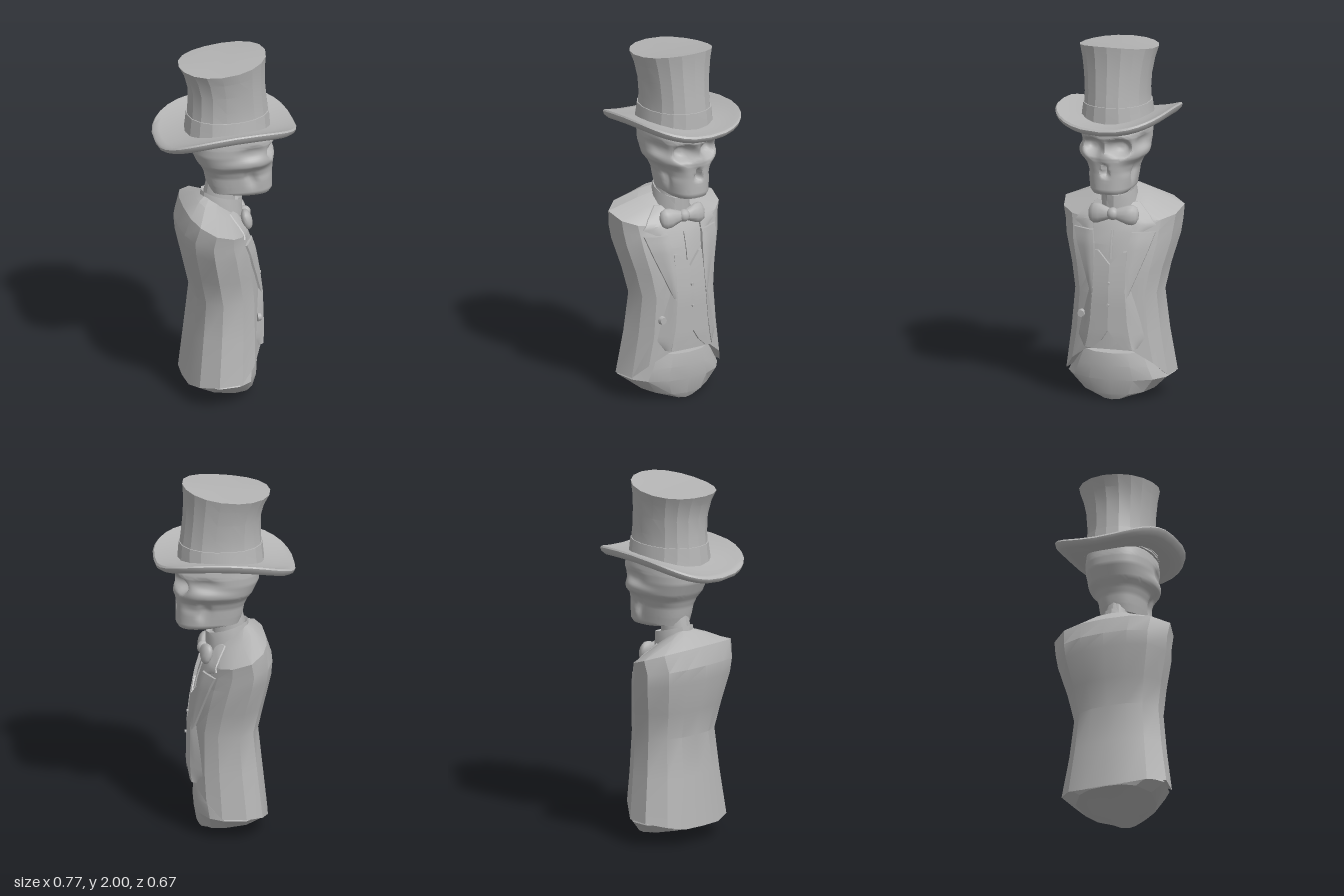
import * as THREE from 'three';
import { toCreasedNormals } from 'three/addons/utils/BufferGeometryUtils.js';

const grey = new THREE.MeshStandardMaterial({ color: 0xb4b4b4 });
grey.name = 'stone grey';

// Skin a stack of closed rings, cap both ends, and turn the faces outward
function loft(rings, crease = 0.5) {
  const n = rings[0].length, tris = [];
  for (let i = 0; i < rings.length - 1; i++) {
    for (let j = 0; j < n; j++) {
      const k = (j + 1) % n, a = rings[i], b = rings[i + 1];
      tris.push([a[j], b[j], b[k]], [a[j], b[k], a[k]]);
    }
  }
  for (const [ring, last] of [[rings[0], false], [rings[rings.length - 1], true]]) {
    const c = new THREE.Vector3();
    ring.forEach(p => c.addScaledVector(p, 1 / n));
    for (let j = 0; j < n; j++) {
      const p = ring[j], q = ring[(j + 1) % n];
      tris.push(last ? [c, q, p] : [c, p, q]);
    }
  }
  const cross = new THREE.Vector3();
  let volume = 0;
  for (const [a, b, c] of tris) volume += a.dot(cross.crossVectors(b, c));
  const pts = tris.flatMap(([a, b, c]) => (volume < 0 ? [a, c, b] : [a, b, c]));
  return toCreasedNormals(new THREE.BufferGeometry().setFromPoints(pts), crease);
}

function add(parent, name, geometry) {
  const mesh = new THREE.Mesh(geometry, grey);
  mesh.name = name;
  parent.add(mesh);
  return mesh;
}

// Linear lookup in rows sorted by their first number
function lookup(rows, y) {
  let i = 0;
  while (i < rows.length - 2 && y > rows[i + 1][0]) i++;
  const t = THREE.MathUtils.clamp((y - rows[i][0]) / (rows[i + 1][0] - rows[i][0]), 0, 1);
  return rows[i].map((v, k) => v + (rows[i + 1][k] - v) * t);
}

// Rounded ring; power below 1 makes it squarer
function oval(n, xb, xf, hw, power, height) {
  const shape = v => Math.sign(v) * Math.abs(v) ** power;
  return Array.from({ length: n }, (_, i) => {
    const a = (i / n) * Math.PI * 2;
    const x = (xb + xf) / 2 + ((xf - xb) / 2) * shape(Math.cos(a));
    const z = hw * shape(Math.sin(a));
    return new THREE.Vector3(x, height(x, z), z);
  });
}

// Coat cross-section from back to front: [depth share, width share]
const half = [[0, 0], [0.02, 0.42], [0.11, 0.75], [0.33, 1], [0.64, 0.94], [0.83, 0.75], [0.96, 0.42], [1, 0]];
const section = [...half.map((p, i) => [...p, i]),
  ...half.slice(1, -1).map(([u, w], i) => [u, -w, i + 1]).reverse()];
const coatRing = ([yb, yf, xb, xf, hw], hem) => section.map(([u, w, i]) =>
  new THREE.Vector3(xb + (xf - xb) * u, hem ? hem[i] : yb + (yf - yb) * u, hw * w));

export function createModel() {
  const model = new THREE.Group();
  model.name = 'skeletonBust';

  // Coat body with a hem that rises toward the front
  const hem = [0.1, 0.1, 0.12, 0.14, 0.14, 0.22, 0.295, 0.3];
  const coat = add(model, 'coat', loft([
    coatRing([0, 0, -0.19, 0.16, 0.25], hem.map(y => y + 0.03)),
    coatRing([0, 0, -0.235, 0.19, 0.305], hem),
    ...[[0.38, 0.38, -0.205, 0.193, 0.268], [0.6, 0.6, -0.182, 0.188, 0.245],
      [0.75, 0.73, -0.215, 0.172, 0.272], [0.92, 0.87, -0.252, 0.145, 0.315],
      [1.0, 0.94, -0.258, 0.122, 0.325], [1.1, 0.99, -0.225, 0.1, 0.337],
      [1.16, 1.04, -0.16, 0.075, 0.17], [1.18, 1.07, -0.12, 0.06, 0.09]].map(r => coatRing(r)),
  ], 0.4));

  // Strips laid on the coat front; each row is [y, inner z, outer z], edge is the outer thickness
  const ray = new THREE.Raycaster();
  const surfaceX = (y, z) => {
    ray.set(new THREE.Vector3(1, y, z), new THREE.Vector3(-1, 0, 0));
    const hit = ray.intersectObject(coat)[0];
    return hit ? hit.point.x : 0;
  };
  function strip(name, rows, thick, edge = thick) {
    const dense = rows.flatMap((r, i) => {
      const next = rows[i + 1];
      return next ? [0, 0.33, 0.67].map(t => r.map((v, k) => v + (next[k] - v) * t)) : [r];
    });
    for (const side of [1, -1]) {
      add(model, name, loft(dense.map(([y, zi, zo]) => {
        const ring = [];
        for (let i = 0; i <= 5; i++) {
          const z = side * (zi + ((zo - zi) * i) / 5), x = surfaceX(y, z);
          if (i === 0) ring.push(new THREE.Vector3(x - 0.02, y, z));
          ring.push(new THREE.Vector3(x + thick + ((edge - thick) * i) / 5, y, z));
          if (i === 5) ring.push(new THREE.Vector3(x - 0.02, y, z));
        }
        return ring;
      })));
    }
  }
  strip('vest', [[0.84, 0.07, 0.09], [0.77, 0, 0.09], [0.6, 0, 0.1], [0.41, 0, 0.11], [0.35, 0.04, 0.12], [0.305, 0.09, 0.13]], 0.016);
  strip('coatCollar', [[1.09, 0.07, 0.12], [1.03, 0.1, 0.19], [0.98, 0.11, 0.23], [0.95, 0.11, 0.17]], 0.014, 0.008);
  strip('lapel', [[0.945, 0.11, 0.23], [0.85, 0.095, 0.2], [0.72, 0.09, 0.15], [0.6, 0.095, 0.105]], 0.02, 0.012);
  strip('coatFrontEdge', [[0.64, 0.09, 0.12], [0.45, 0.105, 0.18], [0.36, 0.12, 0.2], [0.305, 0.135, 0.155]], 0.02, -0.004);
  strip('shirtFold', [[0.95, 0, 0.006], [0.8, 0, 0.01]], 0.008);

  // Buttons
  for (const [name, y, z, r] of [['coatButton', 0.48, 0.165, 0.025], ['vestButton', 0.67, 0, 0.01], ['vestButton', 0.55, 0, 0.01]]) {
    const button = add(model, name, new THREE.CylinderGeometry(r * 0.8, r, 0.02, 8));
    button.rotation.z = -Math.PI / 2;
    button.position.set(surfaceX(y, z) + 0.015, y, z);
  }

  // Trousers closing the underside
  add(model, 'trousers', loft([
    [0.3, 0.27, -0.17, 0.162, 0.22], [0.16, 0.2, -0.2, 0.172, 0.26], [0.135, 0.12, -0.225, 0.165, 0.295],
    [0.1, 0.035, -0.225, 0.15, 0.22], [0.07, 0.005, -0.1, 0.135, 0.1],
  ].map(r => coatRing(r)), 0.4));

  // Neck and shirt collar
  add(model, 'neck', loft([[1.05, -0.12, 0.07, 0.08], [1.16, -0.12, 0.06, 0.074], [1.3, -0.09, 0.06, 0.068]]
    .map(([y, xb, xf, hw]) => oval(14, xb, xf, hw, 1, () => y))));
  add(model, 'shirtCollar', loft([[1.06, -0.14, 0.1, 0.105], [1.13, -0.135, 0.1, 0.096], [1.165, -0.13, 0.1, 0.09], [1.15, -0.11, 0.08, 0.07]]
    .map(([y, xb, xf, hw]) => oval(14, xb, xf, hw, 1, x => y - 0.28 * x))));

  // Bow tie with wings that flare away from the knot
  const bow = new THREE.Group();
  bow.name = 'bowTie';
  bow.position.set(0.115, 1.04, 0);
  bow.rotation.z = 0.25;
  model.add(bow);
  add(bow, 'knot', new THREE.SphereGeometry(0.037, 12, 8)).scale.set(0.9, 0.95, 0.9);
  for (const side of [1, -1]) {
    add(bow, 'bowWing', loft([[0.01, 0.026, 0.018], [0.04, 0.038, 0.024], [0.08, 0.053, 0.03], [0.11, 0.055, 0.03], [0.13, 0.044, 0.022], [0.14, 0.022, 0.01]]
      .map(([z, h, d]) => Array.from({ length: 12 }, (_, i) => {
        const a = (i * Math.PI) / 6;
        return new THREE.Vector3(d * Math.cos(a) - z * 0.12, h * Math.sin(a), side * z);
      })), 1));
  }

  // Skull: [y, back x, front x, half width], then sockets and hollows pressed in
  const profile = [[1.18, 0.02, 0.25, 0.095], [1.2, -0.085, 0.262, 0.117], [1.25, -0.1, 0.262, 0.124],
    [1.3, -0.11, 0.262, 0.13], [1.34, -0.127, 0.264, 0.146], [1.38, -0.155, 0.267, 0.174],
    [1.45, -0.188, 0.266, 0.184], [1.5, -0.192, 0.266, 0.186], [1.55, -0.185, 0.255, 0.18], [1.6, -0.15, 0.21, 0.15]];
  const bump = (a, b, sharp = 1.5) => Math.exp(-((a * a + b * b) ** sharp));
  const rings = [];
  for (let i = 0; i <= 42; i++) {
    const y = 1.18 + i * 0.01;
    const [, xb, xf, hw] = lookup(profile, y);
    const ring = oval(72, xb, xf, hw, 0.8, () => y);
    for (const p of ring) {
      const side = Math.sign(p.z), z = Math.abs(p.z), x = p.x;
      // Eye sockets, brow, nose opening and nose bridge
      if (x > 0.08) {
        p.x -= 0.075 * bump((z - 0.075) / 0.05, (y - 1.445) / 0.046, 2);
        p.x += 0.014 * bump((z - 0.07) / 0.08, (y - 1.51) / 0.025);
        p.x -= 0.04 * bump(z / (0.008 + Math.max(0, 1.345 - y) * 0.3), (y - 1.315) / 0.035, 2);
        p.x += 0.01 * bump(z / 0.03, (y - 1.385) / 0.04);
        p.x -= 0.015 * bump((z - 0.12) / 0.035, (y - 1.32) / 0.04);
      }
      // Cheekbone, temple and cheek hollow
      let dz = 0.012 * bump((x - 0.11) / 0.13, (y - 1.4) / 0.03);
      dz -= 0.018 * bump((x - 0.12) / 0.07, (y - 1.465) / 0.035);
      dz -= 0.022 * bump((x - 0.13) / 0.03, (y - 1.3) / 0.06);
      p.z += side * dz * Math.min(1, z / 0.08);
    }
    rings.push(ring);
  }
  add(model, 'skull', loft(rings, 0.9));

  // Hat brim, curled up at the sides: [size share, height offset]
  const hat = new THREE.Group();
  hat.name = 'topHat';
  model.add(hat);
  const brimY = (x, z) => 1.565 + 0.065 * x - 0.2 * x * x + 0.6 * z * z;
  add(hat, 'brim', loft([[0.5, -0.015], [0.75, -0.032], [0.92, -0.03], [0.985, -0.014], [1, 0.004], [0.98, 0.014], [0.9, 0.012], [0.72, 0.004], [0.5, 0.012]]
    .map(([s, dy]) => oval(32, -0.384 * s, 0.384 * s, 0.319 * s, 0.71, (x, z) => brimY(x, z) + dy)), 0.9));

  // Flared crown with a tilted top, and its band
  const crown = [[1.55, -0.215, 0.25, 0.195], [1.64, -0.205, 0.245, 0.178], [1.72, -0.2, 0.235, 0.175],
    [1.82, -0.2, 0.225, 0.182], [1.91, -0.222, 0.223, 0.196], [1.975, -0.252, 0.228, 0.212]];
  const tilt = (y, x, z) => y + (x * 0.11 - z * z * 0.35) * Math.max(0, (y - 1.6) / 0.375);
  add(hat, 'crown', loft(crown.map(([y, xb, xf, hw]) => oval(18, xb, xf, hw, 0.93, (x, z) => tilt(y, x, z))), 0.3));
  add(hat, 'hatBand', loft([1.56, 1.6, 1.66, 1.662].map((y, i) => {
    const [, xb, xf, hw] = lookup(crown, y), g = i === 3 ? -0.01 : 0.005;
    return oval(18, xb - g, xf + g, hw + g, 0.93, (x, z) => tilt(y, x, z));
  }), 0.3));

  return model;
}
